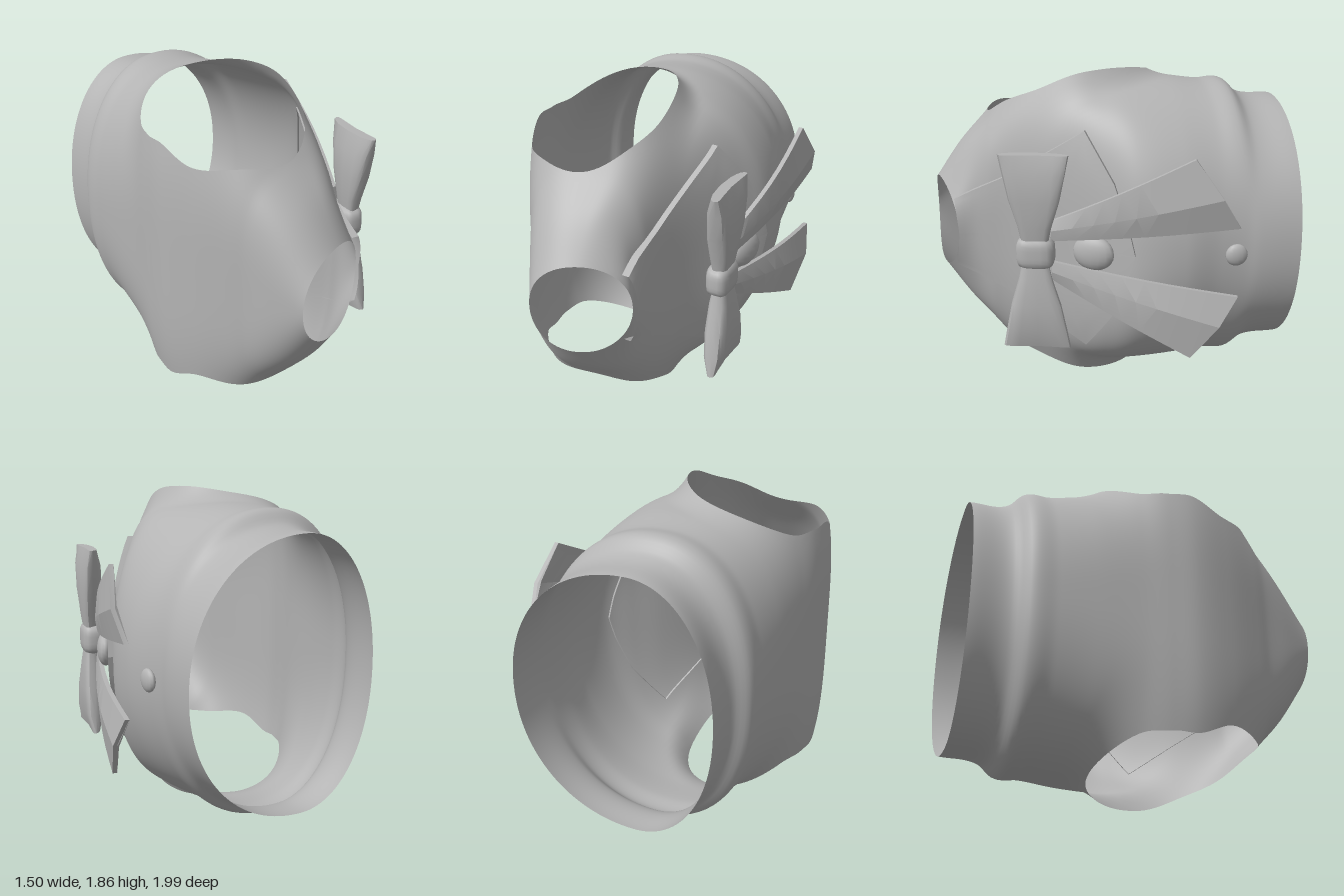
import * as THREE from 'three';
import { toCreasedNormals } from 'three/addons/utils/BufferGeometryUtils.js';

const MID = 0.913; // height of the mirror plane

// Torso sections along z: back x, front x, half height, back squareness, front squareness
const stations = [-0.99, -0.76, -0.69, -0.55, -0.35, -0.1, 0.05, 0.2, 0.4, 0.6, 0.7, 0.8, 0.93];
const sections = [
  -0.56, 0.59, 0.735, 2.1, 2.1,
  -0.575, 0.58, 0.765, 2.1, 2.1,
  -0.635, 0.57, 0.83, 2.2, 2.1,
  -0.655, 0.57, 0.83, 2.3, 2.1,
  -0.68, 0.59, 0.85, 2.6, 2.1,
  -0.71, 0.54, 0.85, 3.4, 2.4,
  -0.735, 0.43, 0.835, 4.5, 2.9,
  -0.75, 0.31, 0.81, 5, 3.4,
  -0.71, 0.18, 0.75, 5, 3.2,
  -0.635, 0.08, 0.67, 4.5, 3,
  -0.59, 0.045, 0.59, 4, 2.8,
  -0.55, 0.02, 0.48, 3, 2.4,
  -0.49, 0.03, 0.265, 2.1, 2.1,
];
const spline = new THREE.CubicInterpolant(stations, sections, 5, new Float32Array(5));

function section(z) {
  const [back, front, h, nBack, nFront] = spline.evaluate(z);
  const t = THREE.MathUtils.smoothstep(z, 0.4, 0.93);
  const cx = THREE.MathUtils.lerp(-0.1, -0.23, t);
  return { cx, h, a: [cx - back, front - cx], n: [nBack, nFront] };
}

// Rows of points joined into a sheet; keep() can leave out triangles
function sheet(rows, wrap = false, keep = () => true) {
  const w = rows[0].length, index = [];
  for (let i = 0; i < rows.length - 1; i++) {
    for (let j = 0; j < (wrap ? w : w - 1); j++) {
      const k = (j + 1) % w;
      const a = i * w + j, b = i * w + k, c = a + w, d = b + w;
      for (const t of [[a, b, c], [b, d, c]]) if (keep(t)) index.push(...t);
    }
  }
  const g = new THREE.BufferGeometry();
  g.setAttribute('position', new THREE.Float32BufferAttribute(rows.flat(2), 3));
  g.setIndex(index);
  g.computeVertexNormals();
  return g;
}

// Open shell with neck, waist and two flared arm holes
function torsoGeometry() {
  const rows = [], inside = [];
  const N = 160, M = 110;
  for (let i = 0; i <= M; i++) {
    const row = [];
    for (let j = 0; j < N; j++) {
      let z = -0.99 + 1.92 * i / M;
      const s = section(z), th = j / N * Math.PI * 2;
      const c = Math.cos(th), sn = Math.sin(th), f = c > 0 ? 1 : 0, n = s.n[f];
      const r = (Math.abs(c / s.a[f]) ** n + Math.abs(sn / s.h) ** n) ** (-1 / n);
      let x = s.cx + r * c, y = r * sn;
      // points within an arm hole slide out to its edge
      const dx = (x + 0.325) / 0.39, dz = (z - 0.2) / 0.475, q = Math.hypot(dx, dz);
      const hit = q < 1 && Math.abs(y) > 0.3;
      inside.push(hit);
      if (hit && q > 0.6) {
        x = -0.325 + dx / q * 0.39;
        z = 0.2 + dz / q * 0.475;
        const e = section(z), g = x > e.cx ? 1 : 0, m = e.n[g];
        const u = Math.min(0.995, Math.abs(x - e.cx) / e.a[g]);
        y = Math.sign(y) * e.h * (1 - u ** m) ** (1 / m);
      }
      // the cloth rises towards the arm holes, most at their sides
      const near = Math.max(0, 1 - Math.max(0, q - 1) / 0.3) ** 2;
      const amp = 0.03 + 0.075 * (dx / Math.max(q, 0.01)) ** 2;
      y += Math.sign(y) * amp * near * THREE.MathUtils.smoothstep(Math.abs(y), 0.3, 0.65);
      // tilt the neck opening
      const k = THREE.MathUtils.clamp((z - 0.68) / 0.25, 0, 1);
      row.push([x, y, z + k * (0.07 - 0.47 * (x + 0.49) ** 2)]);
    }
    rows.push(row);
  }
  return sheet(rows, true, t => !t.every(v => inside[v]));
}

// Front surface of the torso at a given z and y
function chestX(z, y) {
  const s = section(z), n = s.n[1], u = Math.min(0.98, Math.abs(y) / s.h);
  return s.cx + s.a[1] * (1 - u ** n) ** (1 / n);
}

// One half of the wide collar, with its folded edge
function collarGeometry(side) {
  const edge = [[0.89, 0.2], [0.62, 0.335], [0.4, 0.48], [0.17, 0.64], [0.03, 0.38], [-0.04, 0.14], [-0.07, 0]];
  const rows = [], steps = 5;
  for (let i = 0; i < edge.length - 1; i++) {
    for (let k = 0; k < steps + (i === edge.length - 2 ? 1 : 0); k++) {
      const t = k / steps, v = (i + t) / (edge.length - 1);
      const z1 = THREE.MathUtils.lerp(edge[i][0], edge[i + 1][0], t);
      const y1 = THREE.MathUtils.lerp(edge[i][1], edge[i + 1][1], t);
      const z0 = 0.87 - 0.94 * v, row = [];
      for (let j = 0; j <= 8; j++) {
        const z = THREE.MathUtils.lerp(z0, z1, j / 8), y = y1 * j / 8;
        row.push([chestX(z, y) + 0.035, y * side, z]);
      }
      const [x, y, z] = row[8];
      row.push([x - 0.04, y, z - 0.01]);
      rows.push(row);
    }
  }
  const g = sheet(rows);
  if (side > 0) g.index.array.reverse();
  return toCreasedNormals(g, 0.6);
}

// Closed solid from rings of points
function solid(rings, side, crease) {
  const mean = r => r[0].map((_, a) => r.reduce((s, p) => s + p[a], 0) / r.length);
  const cap = r => r.map(() => mean(r));
  const last = rings[rings.length - 1];
  const rows = [cap(rings[0]), ...rings, cap(last)].map(r => r.map(([x, y, z]) => [x, y * side, z]));
  const g = sheet(rows, true);
  if (side < 0) g.index.array.reverse();
  return toCreasedNormals(g, crease);
}

// Bow loop: height, half width, half thickness
function loopGeometry(side) {
  const rings = [[0.05, 0.07, 0.04], [0.15, 0.09, 0.055], [0.3, 0.135, 0.065],
    [0.45, 0.165, 0.06], [0.555, 0.185, 0.03]].map(([y, w, t]) => {
    const ring = [];
    for (let j = 0; j < 16; j++) {
      const a = -j / 16 * Math.PI * 2, c = Math.cos(a), d = Math.sin(a);
      const u = w * Math.sign(c) * Math.abs(c) ** 0.6;
      const x = 0.41 - 0.22 * u + 0.7 * u * u + t * Math.sign(d) * Math.abs(d) ** 0.6;
      ring.push([x, y, 0.46 + u]);
    }
    return ring;
  });
  return solid(rings, side, 0.7);
}

// Ribbon tail: outer corner, ridge and inner corner at each step
function tailGeometry(side) {
  const near = [[0.4, 0.17, 0.37], [0.42, 0.12, 0.37], [0.41, 0.06, 0.37]];
  const far = [[0.685, 0.565, -0.36], [0.75, 0.36, -0.5], [0.73, 0.195, -0.6]];
  const rings = [];
  for (let i = 0; i <= 8; i++) {
    const t = i / 8, bulge = 0.035 * Math.sin(Math.PI * t);
    const top = near.map((p, k) => p.map((v, a) =>
      THREE.MathUtils.lerp(v, far[k][a], t) + (a === 0 ? bulge : 0)));
    const under = top.map(([x, y, z]) => [x - 0.025, y, z - 0.005]).reverse();
    rings.push([...top, ...under]);
  }
  return solid(rings, side, 0.35);
}

export function createModel() {
  const group = new THREE.Group();
  group.position.y = MID;
  const cloth = new THREE.MeshStandardMaterial({ color: 0xb4b4b4, side: THREE.DoubleSide });
  cloth.name = 'grey cloth';
  const add = (name, geometry) => {
    const mesh = new THREE.Mesh(geometry, cloth);
    mesh.name = name;
    group.add(mesh);
    return mesh;
  };

  add('torso', torsoGeometry());
  for (const [label, side] of [['upper', 1], ['lower', -1]]) {
    add(label + 'Collar', collarGeometry(side));
    add(label + 'BowLoop', loopGeometry(side));
    add(label + 'RibbonTail', tailGeometry(side));
  }

  // Bow knot, brooch and button
  const knot = add('bowKnot', new THREE.SphereGeometry(1, 20, 14));
  const p = knot.geometry.attributes.position;
  for (let i = 0; i < p.count; i++) {
    const v = new THREE.Vector3().fromBufferAttribute(p, i);
    const k = (v.x ** 4 + v.y ** 4 + v.z ** 4) ** -0.25;
    p.setXYZ(i, v.x * k * 0.065, v.y * k * 0.09, v.z * k * 0.105);
  }
  knot.geometry.computeVertexNormals();
  knot.position.set(0.405, 0, 0.455);
  knot.rotation.y = -0.25;

  const brooch = add('brooch', new THREE.SphereGeometry(1, 16, 12));
  brooch.scale.set(0.05, 0.1, 0.12);
  brooch.position.set(0.465, 0, 0.145);
  brooch.rotation.y = -0.5;

  const button = add('button', new THREE.SphereGeometry(1, 14, 10));
  button.scale.set(0.028, 0.062, 0.062);
  button.position.set(0.605, 0, -0.62);

  // Keep the mirror plane at its height inside a plain root
  const root = new THREE.Group();
  root.name = 'sailorTop';
  root.add(group);
  return root;
}
